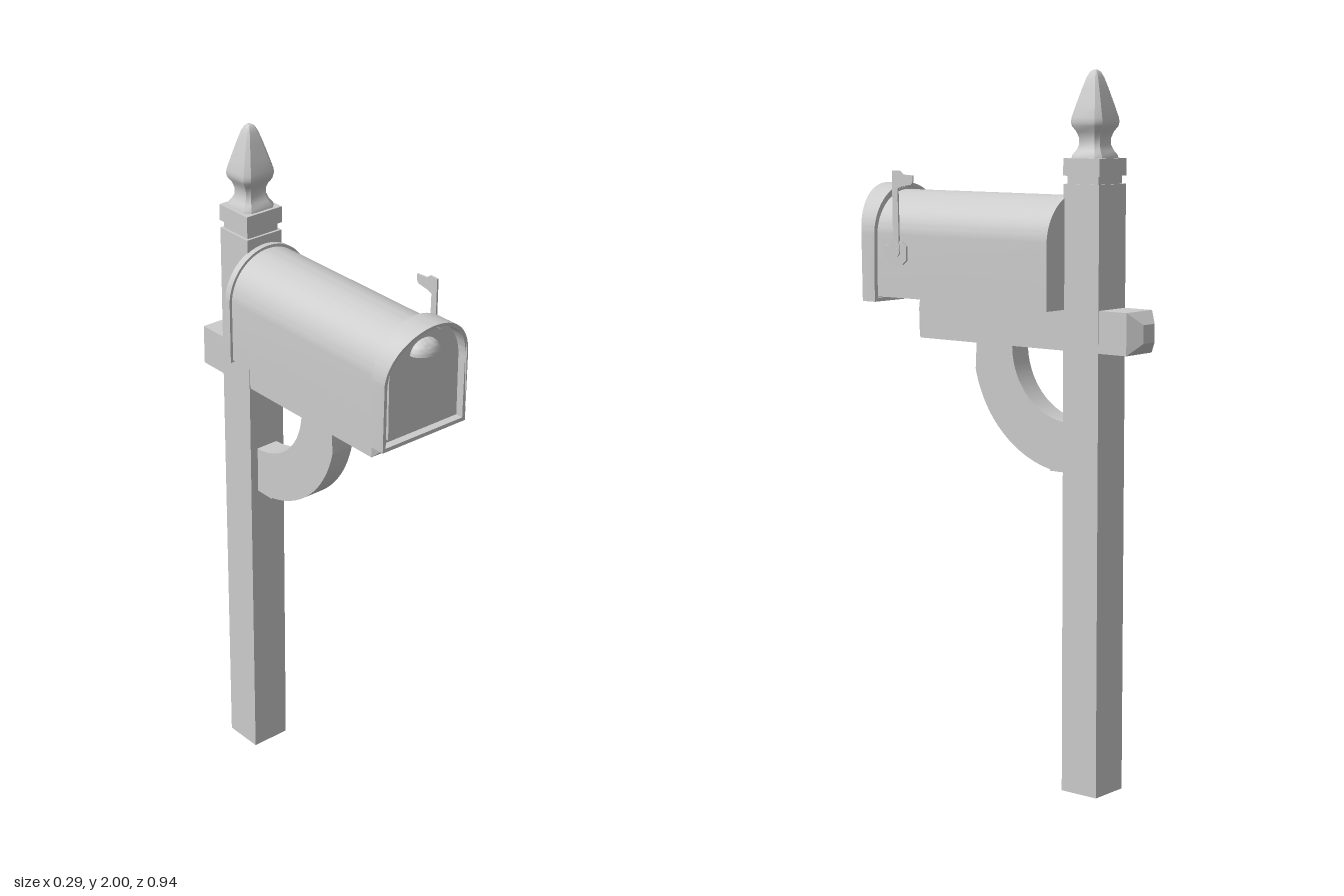
import * as THREE from 'three';
import { toCreasedNormals } from 'three/addons/utils/BufferGeometryUtils.js';

const grey = new THREE.MeshStandardMaterial({ color: 0xcccccc, side: THREE.DoubleSide });
const POST_Z = -0.285;

function part(name, geometry, crease = 0.5) {
  const g = geometry.index ? geometry.toNonIndexed() : geometry;
  const mesh = new THREE.Mesh(toCreasedNormals(g, crease), grey);
  mesh.name = name;
  return mesh;
}

function box(name, w, h, d, x, y, z) {
  return part(name, new THREE.BoxGeometry(w, h, d).translate(x, y, z));
}

// Rectangle with a half-round top, standing on y = bottom
function arch(halfWidth, bottom, top, Type = THREE.Shape) {
  const s = new Type();
  s.moveTo(-halfWidth, bottom);
  s.lineTo(halfWidth, bottom);
  s.lineTo(halfWidth, top - halfWidth);
  s.absarc(0, top - halfWidth, halfWidth, 0, Math.PI, false);
  s.lineTo(-halfWidth, bottom);
  return s;
}

// Extrusion along z between two depths
function extrude(shape, z0, z1) {
  return new THREE.ExtrudeGeometry(shape, { depth: z1 - z0, bevelEnabled: false, curveSegments: 28 })
    .translate(0, 0, z0);
}

// Extrusion of a (z, y) side profile, spanning x0 to x1
function extrudeSide(shape, x0, x1) {
  return extrude(shape, 0, x1 - x0).rotateY(-Math.PI / 2).translate(x1, 0, 0);
}

// Chamfered square sections [position, half size, chamfer], joined along z
function loftSquares(sections) {
  const pos = [];
  const rings = sections.map(([z, r, c]) => [
    [r, -r + c], [r, r - c], [r - c, r], [-r + c, r],
    [-r, r - c], [-r, -r + c], [-r + c, -r], [r - c, -r],
  ].map(([x, y]) => [x, y, z]));
  const tri = (a, b, c) => pos.push(...a, ...b, ...c);
  for (let k = 0; k < rings.length - 1; k++) {
    const a = rings[k], b = rings[k + 1];
    for (let i = 0; i < 8; i++) {
      const j = (i + 1) % 8;
      tri(a[i], a[j], b[j]);
      tri(a[i], b[j], b[i]);
    }
  }
  const first = rings[0], last = rings[rings.length - 1];
  for (let i = 1; i < 7; i++) {
    tri(first[0], first[i + 1], first[i]);
    tri(last[0], last[i], last[i + 1]);
  }
  const g = new THREE.BufferGeometry();
  g.setAttribute('position', new THREE.Float32BufferAttribute(pos, 3));
  return g;
}

function createPost() {
  const post = new THREE.Group();
  post.name = 'post';
  post.add(box('postShaft', 0.12, 1.695, 0.12, 0, 0.8475, POST_Z));
  post.add(box('postNeck', 0.105, 0.03, 0.105, 0, 1.705, POST_Z));
  post.add(box('postCap', 0.122, 0.047, 0.122, 0, 1.7405, POST_Z));

  // Square finial with chamfered corners
  const profile = [
    [1.76, 0.052], [1.772, 0.05], [1.785, 0.041], [1.8, 0.035], [1.818, 0.035],
    [1.835, 0.041], [1.85, 0.051], [1.86, 0.053], [1.872, 0.052], [1.91, 0.041],
    [1.95, 0.029], [1.98, 0.019], [1.994, 0.012], [2.0, 0.005],
  ];
  const finial = loftSquares(profile.map(([y, r]) => [y, r, r * 0.28]));
  post.add(part('finial', finial.rotateX(-Math.PI / 2).translate(0, 0, POST_Z), 0.6));
  return post;
}

function createSupport() {
  const support = new THREE.Group();
  support.name = 'support';
  // Cross arm with pyramid ends
  const arm = loftSquares([[-0.47, 0.025, 0], [-0.437, 0.058, 0], [0.297, 0.058, 0], [0.33, 0.025, 0]]);
  support.add(part('crossArm', arm.translate(0, 1.3, 0)));

  // Curved brace between two concentric arcs
  const cz = -0.225, cy = 1.24, r = 0.342;
  const brace = new THREE.Shape();
  brace.moveTo(cz, 1.04);
  brace.lineTo(cz, 0.9);
  brace.lineTo(-0.16, 0.9);
  brace.absarc(cz, cy, r, Math.atan2(-0.336, 0.065), Math.atan2(-0.075, 0.334), false);
  brace.lineTo(0.105, cy);
  brace.lineTo(-0.025, cy);
  brace.absarc(cz, cy, 0.2, 0, -Math.PI / 2, true);
  support.add(part('brace', extrudeSide(brace, -0.035, 0.035)));
  return support;
}

function createMailbox() {
  const mailbox = new THREE.Group();
  mailbox.name = 'mailbox';
  mailbox.add(part('body', extrude(arch(0.13, 1.36, 1.662), -0.215, 0.4)));
  mailbox.add(part('backCap', extrude(arch(0.138, 1.354, 1.67), -0.228, -0.208)));

  // Front hood: a thin arch whose front edge sweeps forward at the top
  const ring = arch(0.145, 1.345, 1.68);
  ring.holes.push(arch(0.135, 1.356, 1.67, THREE.Path));
  const hood = extrude(ring, 0.393, 0.44);
  const p = hood.attributes.position;
  for (let i = 0; i < p.count; i++) {
    const t = Math.max(0, (p.getY(i) - 1.48) / 0.2);
    if (p.getZ(i) > 0.42) p.setZ(i, 0.44 + 0.032 * t * t);
  }
  mailbox.add(part('hood', hood));

  // Door with raised panel
  mailbox.add(part('door', extrude(arch(0.134, 1.357, 1.669), 0.395, 0.418)));
  mailbox.add(part('doorPanel', extrude(arch(0.118, 1.37, 1.652), 0.41, 0.43)));

  // Half-dome pull with a flat underside
  const pull = new THREE.SphereGeometry(1, 24, 10, 0, Math.PI * 2, 0, Math.PI / 2);
  mailbox.add(part('doorPull', pull.scale(0.048, 0.038, 0.038).translate(0, 1.592, 0.43)));
  mailbox.add(box('doorPullBase', 0.07, 0.004, 0.03, 0, 1.594, 0.438));
  return mailbox;
}

function createFlag() {
  const flag = new THREE.Group();
  flag.name = 'flag';
  const polygon = (pts) => new THREE.Shape(pts.map(([z, y]) => new THREE.Vector2(z, y)));
  // Arm with a pennant at the top, pointing backwards
  flag.add(part('flagArm', extrudeSide(polygon([
    [0.327, 1.49], [0.305, 1.49], [0.309, 1.67], [0.295, 1.676], [0.258, 1.682],
    [0.252, 1.69], [0.252, 1.708], [0.29, 1.71], [0.302, 1.72], [0.33, 1.72],
  ]), 0.133, 0.138)));
  // Mounting plate with cut corners
  flag.add(part('flagMount', extrudeSide(polygon([
    [0.365, 1.47], [0.345, 1.47], [0.335, 1.455], [0.295, 1.455], [0.28, 1.468],
    [0.28, 1.508], [0.295, 1.522], [0.335, 1.522], [0.345, 1.508], [0.365, 1.508],
  ]), 0.128, 0.136)));
  const pivot = new THREE.CylinderGeometry(0.012, 0.012, 0.012, 16).rotateZ(Math.PI / 2);
  flag.add(part('flagPivot', pivot.translate(0.134, 1.49, 0.315)));
  return flag;
}

export function createModel() {
  const model = new THREE.Group();
  model.name = 'mailboxOnPost';
  model.add(createPost(), createSupport(), createMailbox(), createFlag());
  return model;
}
